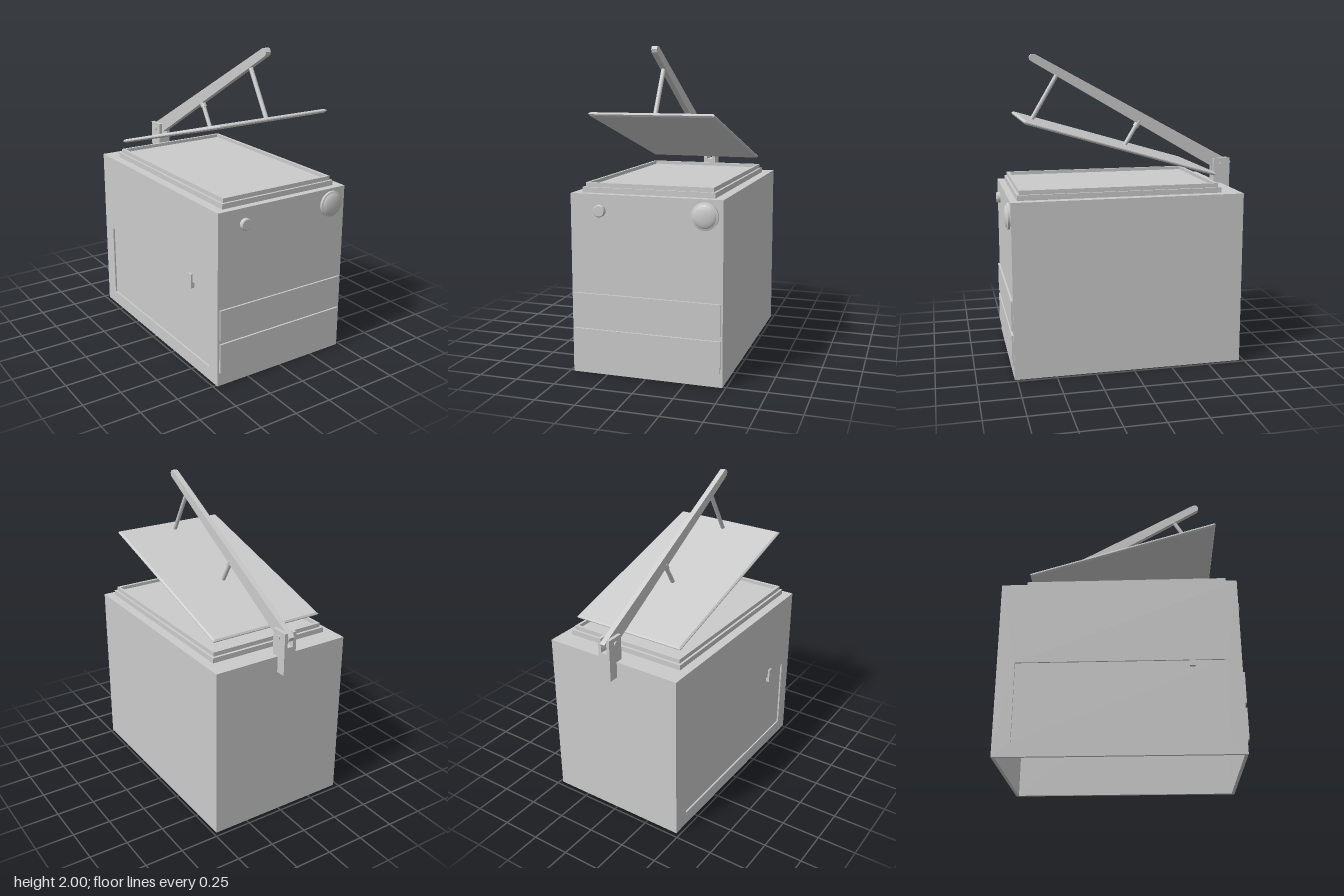
import * as THREE from 'three';

const material = new THREE.MeshStandardMaterial({ color: 0xcccccc, side: THREE.DoubleSide });

export function createModel() {
  const root = new THREE.Group();

  const add = (name, geometry) => {
    const mesh = new THREE.Mesh(geometry, material);
    mesh.name = name;
    root.add(mesh);
    return mesh;
  };
  // Box given by its limits on each axis
  const block = (name, x0, x1, y0, y1, z0, z1) => {
    const g = new THREE.BoxGeometry(x1 - x0, y1 - y0, z1 - z0);
    g.translate((x0 + x1) / 2, (y0 + y1) / 2, (z0 + z1) / 2);
    return add(name, g);
  };
  const rect = (Type, a0, a1, b0, b1) => new Type([[a0, b0], [a1, b0], [a1, b1], [a0, b1]]
    .map(([a, b]) => new THREE.Vector2(a, b)));
  // Flat plate of a given depth with rectangular openings
  const plate = (outer, holes, depth) => {
    const shape = rect(THREE.Shape, ...outer);
    holes.forEach(h => shape.holes.push(rect(THREE.Path, ...h)));
    return new THREE.ExtrudeGeometry(shape, { depth, bevelEnabled: false });
  };
  // Side profile in (z, y), extruded between x0 and x1
  const sideProfile = (name, points, x0, x1) => {
    const shape = new THREE.Shape(points.map(([z, y]) => new THREE.Vector2(z, y)));
    const g = new THREE.ExtrudeGeometry(shape, { depth: x1 - x0, bevelEnabled: false });
    return add(name, g.rotateY(-Math.PI / 2).translate(x1, 0, 0));
  };
  // Round rod between two points in the middle plane
  const rod = (name, [z0, y0], [z1, y1], r) => {
    const a = new THREE.Vector3(0, y0, z0), b = new THREE.Vector3(0, y1, z1);
    const dir = b.clone().sub(a);
    const mesh = add(name, new THREE.CylinderGeometry(r, r, dir.length(), 20));
    mesh.position.copy(a).add(b).multiplyScalar(0.5);
    mesh.quaternion.setFromUnitVectors(new THREE.Vector3(0, 1, 0), dir.normalize());
    return mesh;
  };

  // Cabinet shell, open underneath
  const L = -0.475, R = 0.48, H = 1.125, B = -0.72, F = 0.765, T = 0.02;
  block('rightHandWall', R - T, R, 0, H, B, F);
  block('backWall', L + T, R - T, 0, H, B, B + T);
  block('topPanel', L + T, R - T, H - T, H, B + T, F - T);

  // Front wall with two drawers
  const drawers = [[0.09, 0.285], [0.315, 0.51]];
  const front = plate([L + T, R - T, 0, H], drawers.map(([a, b]) => [-0.45, 0.455, a + 0.01, b - 0.01]), T);
  add('frontWall', front.translate(0, 0, F - T));
  drawers.forEach(([a, b]) => block('drawerFront', -0.463, 0.467, a, b, F - 0.007, 0.777));

  // Side wall with a recessed door and its latch
  const side = plate([B, F, 0, H], [[-0.61, 0.67, 0.09, 0.59]], T);
  add('doorWall', side.rotateY(-Math.PI / 2).translate(L + T, 0, 0));
  block('sideDoor', L + 0.011, L + 0.015, 0.09, 0.59, -0.61, 0.67);
  block('doorLatch', -0.488, L + 0.02, 0.55, 0.645, 0.45, 0.485);

  // Stepped frame around the recessed top plate
  const frames = [
    ['frameBase', [-0.415, 0.42, -0.59, 0.72], H, 0.033],
    ['frameRim', [-0.4, 0.405, -0.572, 0.705], H + 0.033, 0.027],
  ];
  frames.forEach(([name, [x0, x1, z0, z1], y, h]) => {
    const g = plate([x0, x1, -z1, -z0], [[-0.382, 0.387, -0.685, 0.553]], h);
    add(name, g.rotateX(-Math.PI / 2).translate(0, y, 0));
  });
  block('topPlate', -0.39, 0.395, H, 1.163, -0.56, 0.69);

  // Raised lid with chamfered edges
  const lidShape = rect(THREE.Shape, -0.385, 0.385, -0.625, 0.625);
  const lidGeometry = new THREE.ExtrudeGeometry(lidShape, {
    depth: 0.006, bevelThickness: 0.009, bevelSize: 0.01, bevelSegments: 1,
  });
  lidGeometry.translate(0, 0, -0.003).rotateX(-Math.PI / 2);
  const lid = add('lid', lidGeometry);
  lid.position.set(0, 1.42, 0.052);
  lid.rotation.x = -0.284;

  // Tapered lifting arm with the struts that carry the lid
  sideProfile('liftArm', [
    [0.545, 2], [-0.785, 1.278], [-0.8, 1.268], [-0.785, 1.24], [-0.66, 1.24],
    [0.555, 1.947], [0.575, 1.96], [0.58, 1.98], [0.567, 2],
  ], -0.018, 0.018);
  rod('frontStrut', [0.4, 1.87], [0.577, 1.57], 0.014);
  rod('rearStrut', [-0.14, 1.545], [-0.05, 1.395], 0.014);
  rod('strutCollar', [-0.15, 1.56], [-0.125, 1.52], 0.02);

  // Hinge bracket: a block with two cheeks and a pin
  block('hingeBlock', -0.042, 0.042, 1.02, 1.2, -0.785, -0.67);
  for (const s of [-1, 1]) {
    const [x0, x1] = s < 0 ? [-0.042, -0.02] : [0.02, 0.042];
    block('hingeCheek', x0, x1, 1.2, 1.295, -0.785, -0.67);
  }
  const pin = add('hingePin', new THREE.CylinderGeometry(0.014, 0.014, 0.1, 20));
  pin.rotation.z = Math.PI / 2;
  pin.position.set(0, 1.255, -0.725);

  // Domed dial and small button on the front
  const turned = (name, profile, x, y) => {
    const g = new THREE.LatheGeometry(profile.map(([r, h]) => new THREE.Vector2(r, h)), 40).toNonIndexed();
    const mesh = add(name, g.rotateX(Math.PI / 2));
    mesh.position.set(x, y, F);
  };
  turned('dialBase', [[0.083, 0], [0.083, 0.014]], 0.37, 1.025);
  turned('dialBezel', [[0.083, 0.014], [0.07, 0.018]], 0.37, 1.025);
  const dome = [];
  for (let i = 0; i <= 8; i++) {
    const a = (i / 8) * Math.PI / 2;
    dome.push([0.073 * Math.cos(a), 0.012 + 0.022 * Math.sin(a)]);
  }
  turned('dialDome', dome, 0.37, 1.025);
  turned('buttonSide', [[0.037, 0], [0.037, 0.019]], -0.285, 1.025);
  turned('buttonEdge', [[0.037, 0.019], [0.032, 0.024]], -0.285, 1.025);
  turned('buttonFace', [[0.032, 0.024], [0, 0.024]], -0.285, 1.025);

  return root;
}
